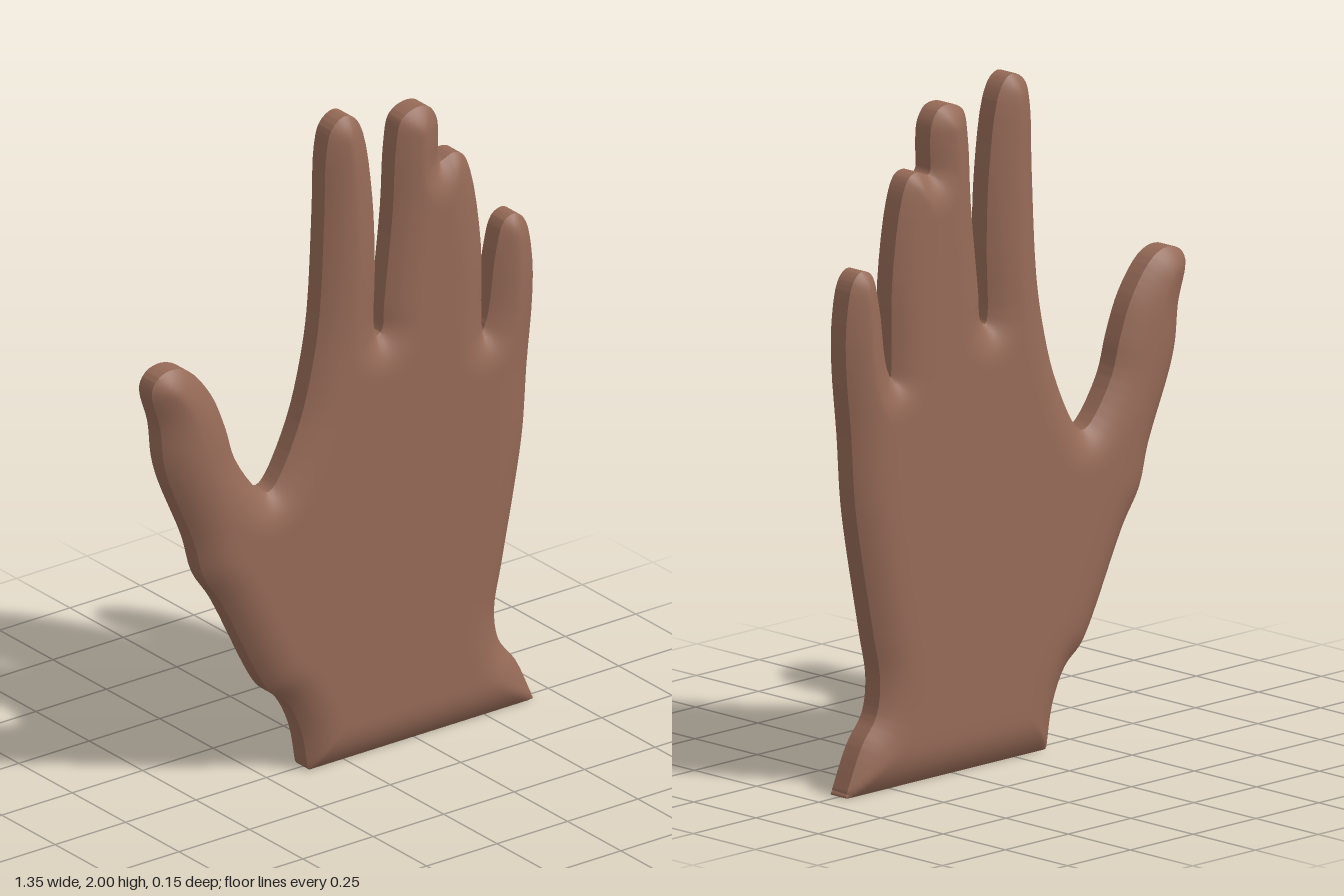
import * as THREE from 'three';
import { mergeVertices } from 'three/addons/utils/BufferGeometryUtils.js';

const STEP = 0.0125;   // grid spacing of the rounded faces
const RIM = 0.03;      // half width of the flat rim
const SWELL = 0.045;   // extra half thickness away from the rim
const REACH = 0.13;    // distance over which the faces round off

// Outline sections, walked anticlockwise from the outer wrist corner
const outerPalm = [0.675, 0, 0.61, 0.14, 0.55, 0.22, 0.535, 0.32, 0.56, 0.45, 0.61, 0.7, 0.635, 0.85, 0.65, 1.05];
const littleFinger = [0.67, 1.25, 0.67, 1.38, 0.645, 1.5, 0.61, 1.53, 0.57, 1.515, 0.54, 1.42, 0.515, 1.25, 0.495, 1.195];
const ringFinger = [0.49, 1.25, 0.488, 1.47, 0.45, 1.71, 0.42, 1.77, 0.385, 1.78, 0.34, 1.765];
const middleFinger = [0.337, 1.85, 0.33, 1.91, 0.3, 1.95, 0.25, 1.955, 0.205, 1.93, 0.187, 1.85, 0.175, 1.65, 0.145, 1.38, 0.138, 1.3, 0.122, 1.285];
const indexFinger = [0.11, 1.3, 0.112, 1.5, 0.103, 1.72, 0.07, 1.93, 0.04, 1.985, 0.005, 2, -0.04, 1.972, -0.06, 1.9, -0.067, 1.72, -0.085, 1.4, -0.11, 1.25, -0.155, 1.09];
const thumb = [-0.235, 0.93, -0.265, 0.905, -0.3, 0.92, -0.385, 1.04, -0.42, 1.15, -0.47, 1.265, -0.55, 1.36, -0.61, 1.38, -0.658, 1.365, -0.68, 1.325, -0.65, 1.21, -0.638, 1.1, -0.615, 1.02];
const thumbBase = [-0.53, 0.82, -0.495, 0.7, -0.43, 0.6, -0.3, 0.34, -0.26, 0.28, -0.2, 0.23, -0.15, 0.13, -0.125, 0];

function makeOutline() {
  const flat = [outerPalm, littleFinger, ringFinger, middleFinger, indexFinger, thumb, thumbBase].flat();
  const points = [];
  for (let i = 0; i < flat.length; i += 2) points.push(new THREE.Vector3(flat[i], flat[i + 1], 0));
  return new THREE.CatmullRomCurve3(points).getPoints((points.length - 1) * 4);
}

// Signed distance to the outline, positive inside
function signedDistance(outline, x, y) {
  let best = Infinity, inside = false;
  for (let i = 0, j = outline.length - 1; i < outline.length; j = i++) {
    const a = outline[j], b = outline[i];
    const dx = b.x - a.x, dy = b.y - a.y;
    const t = THREE.MathUtils.clamp(((x - a.x) * dx + (y - a.y) * dy) / (dx * dx + dy * dy || 1), 0, 1);
    best = Math.min(best, Math.hypot(x - a.x - t * dx, y - a.y - t * dy));
    if ((a.y > y) !== (b.y > y) && x < a.x + (y - a.y) * dx / dy) inside = !inside;
  }
  return inside ? best : -best;
}

function thickness(d) {
  const t = THREE.MathUtils.clamp(d / REACH, 0, 1);
  return RIM + SWELL * (1 - Math.pow(1 - t, 2.5));
}

function smoothGeometry(positions) {
  const geometry = new THREE.BufferGeometry();
  geometry.setAttribute('position', new THREE.Float32BufferAttribute(positions, 3));
  const merged = mergeVertices(geometry, 1e-5);
  merged.computeVertexNormals();
  return merged;
}

export function createModel() {
  const outline = makeOutline();
  const faces = [], rim = [];

  // Cut one grid triangle to the outline; add its front, back and rim
  function addTriangle(corners) {
    const poly = [];
    let exit = null, entry = null;
    corners.forEach((a, i) => {
      const b = corners[(i + 1) % 3];
      if (a.d > 0) poly.push(a);
      if ((a.d > 0) !== (b.d > 0)) {
        const t = a.d / (a.d - b.d);
        const cut = { x: a.x + (b.x - a.x) * t, y: a.y + (b.y - a.y) * t, d: 0 };
        poly.push(cut);
        if (a.d > 0) exit = cut; else entry = cut;
      }
    });
    for (let i = 1; i + 1 < poly.length; i++) {
      const tri = [poly[0], poly[i], poly[i + 1]];
      for (const p of tri) faces.push(p.x, p.y, thickness(p.d));
      for (const p of tri.reverse()) faces.push(p.x, p.y, -thickness(p.d));
    }
    if (exit && entry) {
      const quad = [[exit, -RIM], [entry, -RIM], [entry, RIM], [exit, -RIM], [entry, RIM], [exit, RIM]];
      for (const [p, z] of quad) rim.push(p.x, p.y, z);
    }
  }

  const columns = Math.ceil(1.42 / STEP), rows = Math.ceil(2.04 / STEP);
  const grid = [];
  for (let r = 0; r <= rows; r++) {
    grid.push([]);
    for (let c = 0; c <= columns; c++) {
      const x = -0.705 + c * STEP, y = -0.008 + r * STEP;
      grid[r].push({ x, y, d: signedDistance(outline, x, y) });
    }
  }
  for (let r = 0; r < rows; r++) {
    for (let c = 0; c < columns; c++) {
      const a = grid[r][c], b = grid[r][c + 1], e = grid[r + 1][c + 1], f = grid[r + 1][c];
      addTriangle([a, b, e]);
      addTriangle([a, e, f]);
    }
  }

  const skin = new THREE.MeshStandardMaterial({ color: 0x966a57 });
  skin.name = 'brown skin';

  const group = new THREE.Group();
  group.name = 'hand';
  const palmAndBack = new THREE.Mesh(smoothGeometry(faces), skin);
  palmAndBack.name = 'palmAndBack';
  const edge = new THREE.Mesh(smoothGeometry(rim), skin);
  edge.name = 'handEdge';
  group.add(palmAndBack, edge);
  return group;
}
